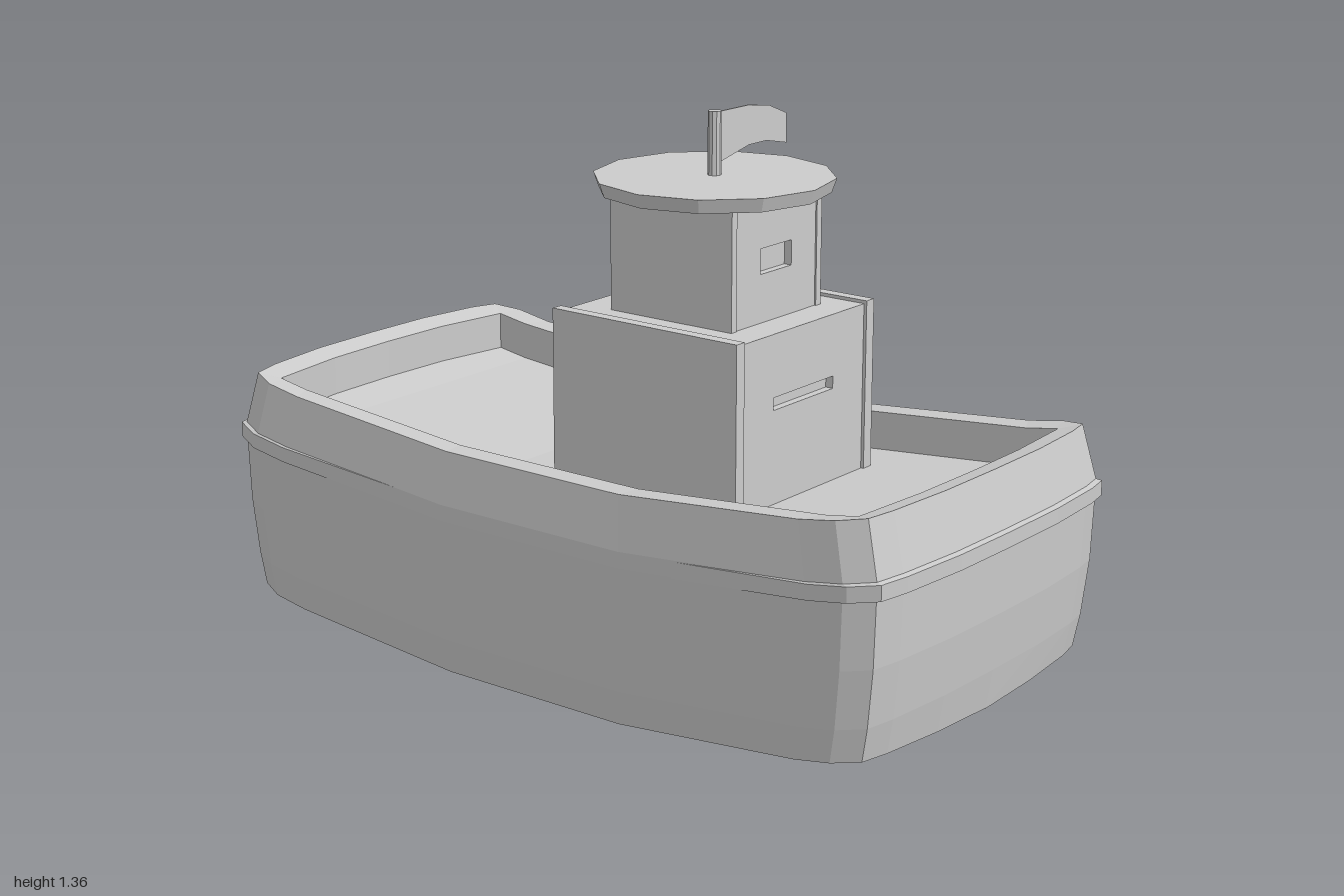
import * as THREE from 'three';

const material = new THREE.MeshStandardMaterial({ color: 0xcccccc, flatShading: true });
const thin = new THREE.MeshStandardMaterial({ color: 0xcccccc, flatShading: true, side: THREE.DoubleSide });

// Quarter outlines of the hull in plan, [x, z], from the bow centre to the side
const OUTER = [[0, 0.985], [0.2, 0.982], [0.38, 0.965], [0.455, 0.948], [0.483, 0.88], [0.483, 0.78], [0.483, 0.27]];
const INNER = [[0, 0.892], [0.2, 0.888], [0.38, 0.87], [0.41, 0.867], [0.41, 0.86], [0.41, 0.78], [0.41, 0.27]];

// Mirror a quarter outline into a closed loop
function mirrorLoop(quarter) {
  const half = [...quarter, ...quarter.slice().reverse().map(([x, z]) => [x, -z])];
  const other = half.slice(1, -1).reverse().map(([x, z]) => [-x, z]);
  return [...half, ...other];
}

// Upward sweep of the hull towards both ends
function sheer(z) {
  const a = Math.abs(z);
  if (a < 0.27) return 0;
  if (a < 0.78) return (a - 0.27) / 0.51 * 0.045;
  return 0.045 + (a - 0.78) / 0.2 * 0.033;
}

// One horizontal cross-section, inset by ix and iz
function section(quarter, y, ix = 0, iz = 0) {
  return mirrorLoop(quarter).map(([x, z]) =>
    [x * (1 - ix / 0.483), y + sheer(z), z * (1 - iz / 0.985)]);
}

// Skin a stack of loops with quads
function loft(rings) {
  const n = rings[0].length;
  const index = [];
  for (let r = 0; r < rings.length - 1; r++) {
    for (let i = 0; i < n; i++) {
      const a = r * n + i, b = r * n + (i + 1) % n;
      index.push(a, b, b + n, a, b + n, a + n);
    }
  }
  const geometry = new THREE.BufferGeometry();
  geometry.setAttribute('position', new THREE.Float32BufferAttribute(rings.flat(2), 3));
  geometry.setIndex(index);
  geometry.computeVertexNormals();
  return geometry;
}

function add(group, name, geometry, mat = material) {
  const mesh = new THREE.Mesh(geometry, mat);
  mesh.name = name;
  group.add(mesh);
  return mesh;
}

// Box given by its minimum and maximum corners
function box(group, name, [x0, y0, z0], [x1, y1, z1]) {
  add(group, name, new THREE.BoxGeometry(x1 - x0, y1 - y0, z1 - z0))
    .position.set((x0 + x1) / 2, (y0 + y1) / 2, (z0 + z1) / 2);
}

function rectangle(path, x, y0, y1) {
  path.moveTo(-x, y0);
  path.lineTo(x, y0);
  path.lineTo(x, y1);
  path.lineTo(-x, y1);
  path.closePath();
  return path;
}

// House with a recessed front window and a plate on each side
function house(name, o) {
  const group = new THREE.Group();
  group.name = name;
  const depth = 0.02;
  box(group, name + 'Body', [-o.x, o.y0, o.z0], [o.x, o.y1, o.z1 - depth]);
  const shape = rectangle(new THREE.Shape(), o.x, o.y0, o.y1);
  shape.holes.push(rectangle(new THREE.Path(), ...o.window));
  add(group, name + 'Front', new THREE.ExtrudeGeometry(shape, { depth, bevelEnabled: false }))
    .position.z = o.z1 - depth;
  for (const s of [-1, 1]) {
    const xs = [s * o.x, s * o.plateX].sort((a, b) => a - b);
    box(group, name + 'SidePlate', [xs[0], o.y0, o.z0 - o.lip], [xs[1], o.plateY, o.z1 + o.lip]);
  }
  return group;
}

export function createModel() {
  const boat = new THREE.Group();
  boat.name = 'boat';

  // Hull, from the keel line up over the bulwark and down to the deck
  const flatten = (ring, drop) => ring.map(([, y, z]) => [0, y - drop, z]);
  const bottom = section(OUTER, 0.018, 0.013, 0.038)
    .map(([x, y, z]) => [x, y - 0.015 * (1 - Math.abs(x) / 0.47), z]);
  const deck = section(INNER, 0.475);
  add(boat, 'hull', loft([
    flatten(section(OUTER, 0.018, 0.013, 0.038), 0.016),
    bottom,
    section(OUTER, 0.1, 0.008, 0.022),
    section(OUTER, 0.24, 0.002, 0.006),
    section(OUTER, 0.4),
    section(OUTER, 0.44),
    section(OUTER, 0.57, 0.014, 0.035),
    section(INNER, 0.57),
    deck,
    flatten(deck, 0),
  ]));

  // Rubbing strip that fades into the sides amidships
  const strip = (y, grow) => section(OUTER, y).map(([x, h, z]) => {
    const t = Math.abs(z) > 0.3 ? grow : -0.004;
    return [x * (1 + t * 0.9), h, z * (1 + t * 1.6)];
  });
  add(boat, 'rubbingStrip', loft([strip(0.395, -0.01), strip(0.4, 0.0095), strip(0.437, 0.0095), strip(0.442, -0.01)]));

  // Cabin and wheelhouse
  boat.add(house('cabin', {
    x: 0.24, y0: 0.46, y1: 0.895, z0: -0.09, z1: 0.43, window: [0.117, 0.715, 0.745],
    plateX: 0.27, plateY: 0.903, lip: 0.008,
  }));
  boat.add(house('wheelhouse', {
    x: 0.155, y0: 0.89, y1: 1.18, z0: 0.003, z1: 0.347, window: [0.06, 1.01, 1.07],
    plateX: 0.174, plateY: 1.18, lip: 0.004,
  }));

  // Twelve-sided roof and mast
  add(boat, 'roof', new THREE.CylinderGeometry(0.285, 0.273, 0.034, 12)).position.set(0, 1.193, 0.168);
  add(boat, 'mast', new THREE.CylinderGeometry(0.016, 0.016, 0.16, 10)).position.set(0, 1.28, 0.168);

  // Thin drooping flag
  const flag = new THREE.Shape([
    [0.01, 1.235], [0.13, 1.26], [0.2, 1.26], [0.28, 1.243],
    [0.28, 1.315], [0.21, 1.343], [0.13, 1.355], [0.01, 1.356],
  ].map(([x, y]) => new THREE.Vector2(x, y)));
  add(boat, 'flag', new THREE.ExtrudeGeometry(flag, { depth: 0.004, bevelEnabled: false }), thin)
    .position.z = 0.166;

  return boat;
}
